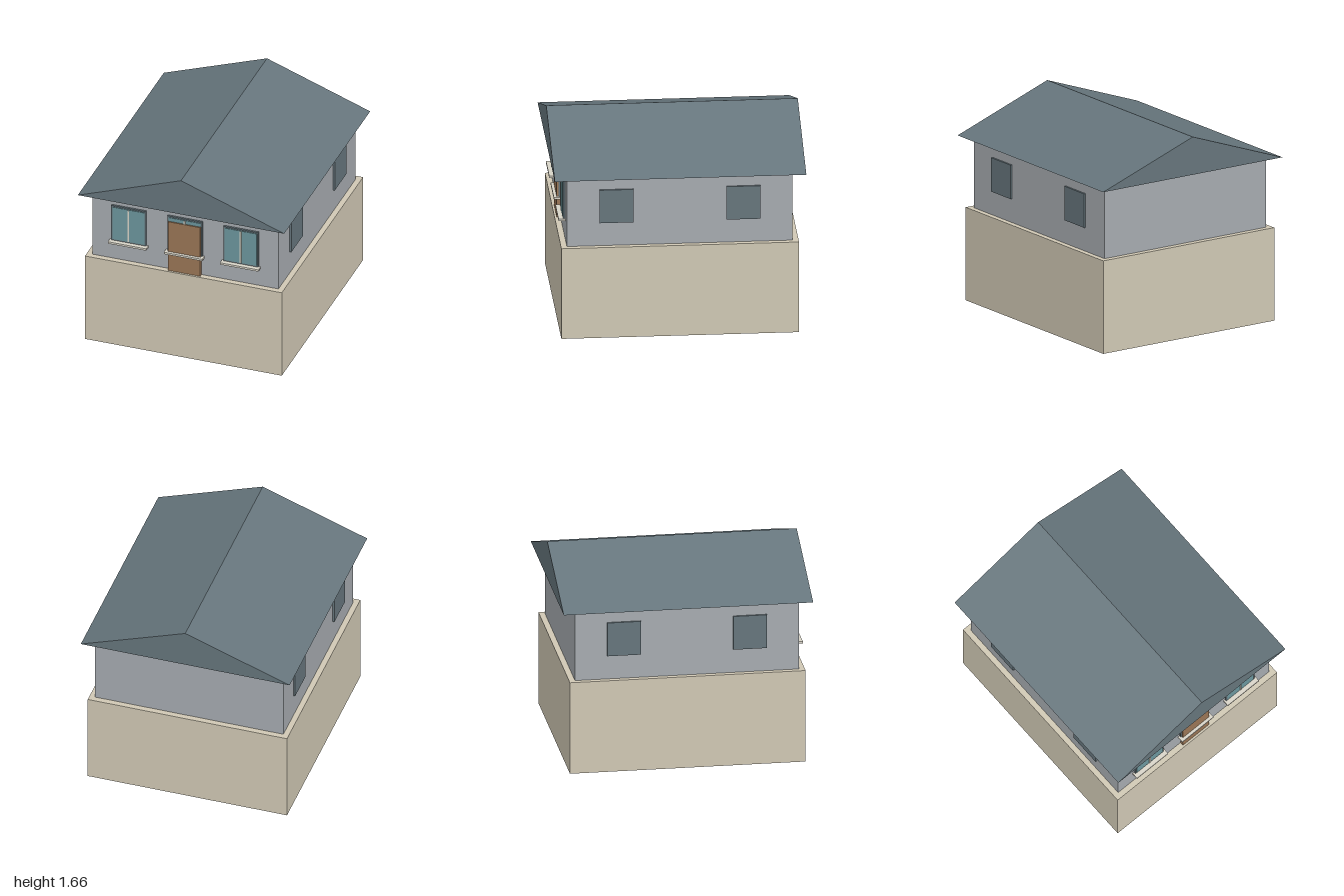
import * as THREE from 'three';

const mat = (color) => new THREE.MeshStandardMaterial({ color, flatShading: true });
const stone = mat(0xd0c8b4), wall = mat(0xa6abb0), slate = mat(0x66757c);
const glass = mat(0x6c979e), wood = mat(0x9a7656), trim = mat(0xd8d4c8);

// Box given by its extents along each axis
function box(name, material, [x0, x1], [y0, y1], [z0, z1]) {
  const mesh = new THREE.Mesh(new THREE.BoxGeometry(x1 - x0, y1 - y0, z1 - z0), material);
  mesh.position.set((x0 + x1) / 2, (y0 + y1) / 2, (z0 + z1) / 2);
  mesh.name = name;
  return mesh;
}

// Framed window with two panes, a central bar and a sill
function frontWindow(x) {
  const group = new THREE.Group();
  group.name = 'frontWindow';
  group.add(
    box('windowFrame', slate, [-0.147, 0.147], [0.94, 1.262], [0.89, 0.914]),
    box('windowGlass', glass, [-0.135, 0.135], [0.955, 1.25], [0.89, 0.919]),
    box('windowBar', trim, [-0.007, 0.007], [0.958, 1.246], [0.89, 0.923]),
    box('windowSill', trim, [-0.162, 0.162], [0.926, 0.943], [0.89, 0.952])
  );
  group.position.x = x;
  return group;
}

export function createModel() {
  const house = new THREE.Group();
  house.name = 'house';

  // Foundation and walls
  house.add(
    box('foundation', stone, [-0.83, 0.83], [0, 0.767], [-0.945, 0.945]),
    box('walls', wall, [-0.785, 0.785], [0.767, 1.353], [-0.898, 0.898])
  );

  // Gabled roof, a closed triangular prism
  const gable = new THREE.Shape([
    new THREE.Vector2(-0.87, 1.353),
    new THREE.Vector2(0.87, 1.353),
    new THREE.Vector2(0, 1.665),
  ]);
  const roof = new THREE.Mesh(
    new THREE.ExtrudeGeometry(gable, { depth: 2, bevelEnabled: false }).translate(0, 0, -1),
    slate
  );
  roof.name = 'roof';
  house.add(roof);

  // Front windows, the middle one behind the door
  for (const x of [-0.473, 0, 0.473]) house.add(frontWindow(x));
  house.add(box('door', wood, [-0.136, 0.136], [0.767, 1.217], [0.89, 0.928]));

  // Plain panels on both side walls
  for (const side of [-1, 1]) {
    for (const z of [-0.505, 0.505]) {
      const panel = box('sideWindow', slate, [-0.01, 0.01], [0.963, 1.243], [-0.135, 0.135]);
      panel.position.x = side * 0.79;
      panel.position.z = z;
      house.add(panel);
    }
  }
  return house;
}
